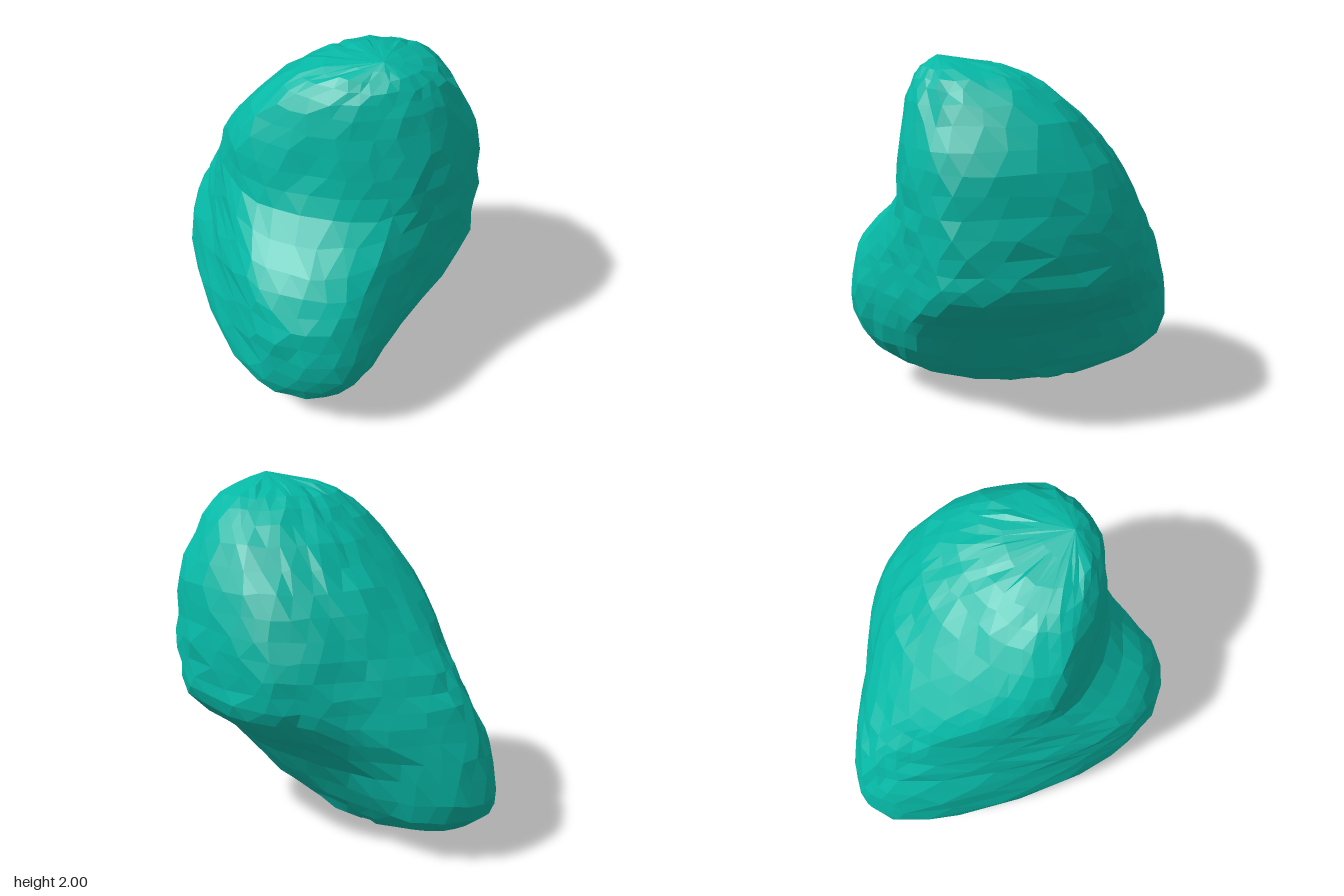
import * as THREE from 'three';

// Horizontal outlines, bottom to top: height, then x,z pairs running
// back, back-left, left, front lobe, front, right-front, right-back, back-right.
const SECTIONS = [
  [0.07, -0.28, -0.56, -0.43, -0.42, -0.54, 0.1, -0.42, 0.35, -0.22, 0.39, -0.07, 0.18, -0.03, -0.2, -0.12, -0.45],
  [0.25, -0.3, -0.95, -0.54, -0.8, -0.69, 0.55, -0.39, 0.83, -0.1, 0.71, 0.11, 0.44, 0.13, -0.2, 0.0, -0.76],
  [0.55, -0.26, -0.95, -0.53, -0.79, -0.7, 0.65, -0.38, 0.97, 0.02, 0.8, 0.33, 0.56, 0.36, -0.18, 0.1, -0.74],
  [0.8, -0.23, -0.88, -0.44, -0.73, -0.7, 0.66, -0.36, 0.95, 0.12, 0.77, 0.62, 0.54, 0.63, -0.28, 0.29, -0.63],
  [1.0, -0.18, -0.78, -0.41, -0.61, -0.67, 0.53, -0.36, 0.85, 0.18, 0.75, 0.66, 0.53, 0.66, -0.33, 0.34, -0.58],
  [1.25, -0.1, -0.6, -0.43, -0.42, -0.58, 0.18, -0.27, 0.62, 0.2, 0.74, 0.66, 0.53, 0.67, -0.27, 0.36, -0.5],
  [1.52, 0.01, -0.4, -0.45, -0.17, -0.55, 0.14, -0.24, 0.56, 0.19, 0.73, 0.62, 0.53, 0.64, -0.12, 0.37, -0.34],
  [1.78, 0.06, -0.13, -0.28, 0.0, -0.4, 0.25, -0.19, 0.56, 0.17, 0.68, 0.46, 0.53, 0.54, 0.08, 0.32, -0.1],
];
const BASE = new THREE.Vector3(-0.27, 0, -0.1);
const PEAK = new THREE.Vector3(0.06, 2, 0.5);
const AROUND = 34, UP = 25;

function seeded(seed) {
  return () => {
    seed = (seed * 16807) % 2147483647;
    return seed / 2147483647 - 0.5;
  };
}

function rockGeometry() {
  // One vertical curve per outline corner, joined at the base and the peak
  const columns = [];
  for (let k = 0; k < 8; k++) {
    const pts = SECTIONS.map((s) => new THREE.Vector3(s[1 + 2 * k], s[0], s[2 + 2 * k]));
    const shoulder = pts[pts.length - 1].clone().lerp(PEAK, 0.36).setY(1.92);
    columns.push(new THREE.CatmullRomCurve3([BASE, ...pts, shoulder, PEAK]));
  }

  // Closed rings through the columns, slightly roughened, every other one half a step round
  const rand = seeded(71);
  const position = [], index = [];
  for (let j = 1; j < UP; j++) {
    const ring = new THREE.CatmullRomCurve3(columns.map((c) => c.getPoint(j / UP)), true);
    const rough = j > 1 && j < UP - 1 ? 0.02 : 0.005;
    for (let i = 0; i < AROUND; i++) {
      const p = ring.getPoint(((i + (j % 2) * 0.5 + rand() * 0.4) / AROUND + 1) % 1);
      position.push(p.x + rand() * rough, p.y + rand() * rough, p.z + rand() * rough);
    }
  }
  const base = position.length / 3, peak = base + 1;
  position.push(...BASE.toArray(), ...PEAK.toArray());

  const last = (UP - 2) * AROUND;
  for (let i = 0; i < AROUND; i++) {
    const n = (i + 1) % AROUND;
    index.push(base, n, i, peak, last + i, last + n);
    for (let j = 0; j < UP - 2; j++) {
      const a = j * AROUND + i, b = j * AROUND + n, c = a + AROUND, d = b + AROUND;
      // The shorter diagonal follows the half-step offset
      if (j % 2) index.push(a, b, c, b, d, c);
      else index.push(a, d, c, a, b, d);
    }
  }

  const geo = new THREE.BufferGeometry();
  geo.setAttribute('position', new THREE.Float32BufferAttribute(position, 3));
  geo.setIndex(index);
  geo.computeVertexNormals();
  return geo;
}

export function createModel() {
  const group = new THREE.Group();
  group.name = 'rock';
  const material = new THREE.MeshStandardMaterial({ color: 0x06b8a6, flatShading: true });
  const boulder = new THREE.Mesh(rockGeometry(), material);
  boulder.name = 'boulder';
  group.add(boulder);
  return group;
}
